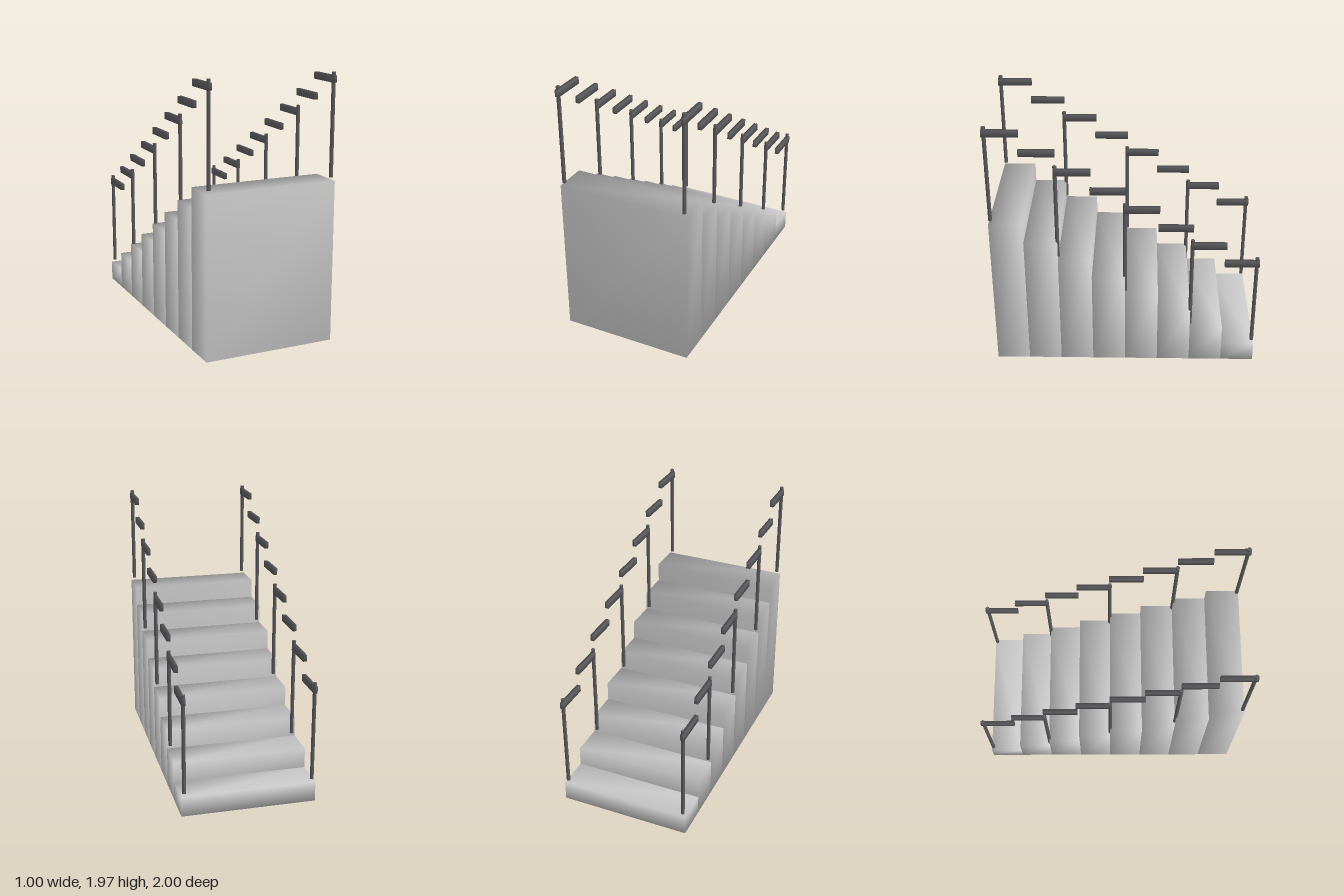
import * as THREE from 'three';
import { mergeVertices } from 'three/addons/utils/BufferGeometryUtils.js';

const STEPS = 8, RUN = 0.2487, RISE = 0.1495, WIDTH = 0.995;
const RAIL_X = 0.473;

// Box with shared corners, so its shading runs smoothly round the edges
function softBox(w, h, d) {
  const box = new THREE.BoxGeometry(w, h, d);
  box.deleteAttribute('normal');
  box.deleteAttribute('uv');
  const geometry = mergeVertices(box);
  geometry.computeVertexNormals();
  return geometry;
}

export function createModel() {
  const stairs = new THREE.Group();
  stairs.name = 'stairs';
  const stone = new THREE.MeshStandardMaterial({ color: 0xcccccc });
  const metal = new THREE.MeshStandardMaterial({ color: 0x5c5c60 });

  const add = (parent, name, geometry, material, x, y, z) => {
    const mesh = new THREE.Mesh(geometry, material);
    mesh.name = name;
    mesh.position.set(x, y, z);
    parent.add(mesh);
  };
  const stepZ = i => ((STEPS - 1) / 2 - i) * RUN;
  const stepTop = i => (STEPS - i) * RISE;

  // Solid steps, tallest at the front, each reaching the ground
  for (let i = 0; i < STEPS; i++) {
    const h = stepTop(i);
    add(stairs, `step${i + 1}`, softBox(WIDTH, h, RUN), stone, 0, h / 2, stepZ(i));
  }

  // Posts: [step that sets the height, z]
  const posts = [[0, 0.98], [2, 0.4975], [4, 0], [6, -0.4975], [7, -0.98]];
  const postGeometry = new THREE.CylinderGeometry(0.0145, 0.0145, 0.745, 8);
  const railGeometry = softBox(0.029, 0.05, 0.259);

  // Handrail on each side: posts and one level rail piece over every step
  for (const [side, x] of [['left', RAIL_X], ['right', -RAIL_X]]) {
    const handrail = new THREE.Group();
    handrail.name = `${side}Handrail`;
    posts.forEach(([i, z], n) =>
      add(handrail, `post${n + 1}`, postGeometry, metal, x, stepTop(i) + 0.025 + 0.3725, z));
    for (let i = 0; i < STEPS; i++)
      add(handrail, `rail${i + 1}`, railGeometry, metal, x, stepTop(i) + 0.72, stepZ(i));
    stairs.add(handrail);
  }
  return stairs;
}
